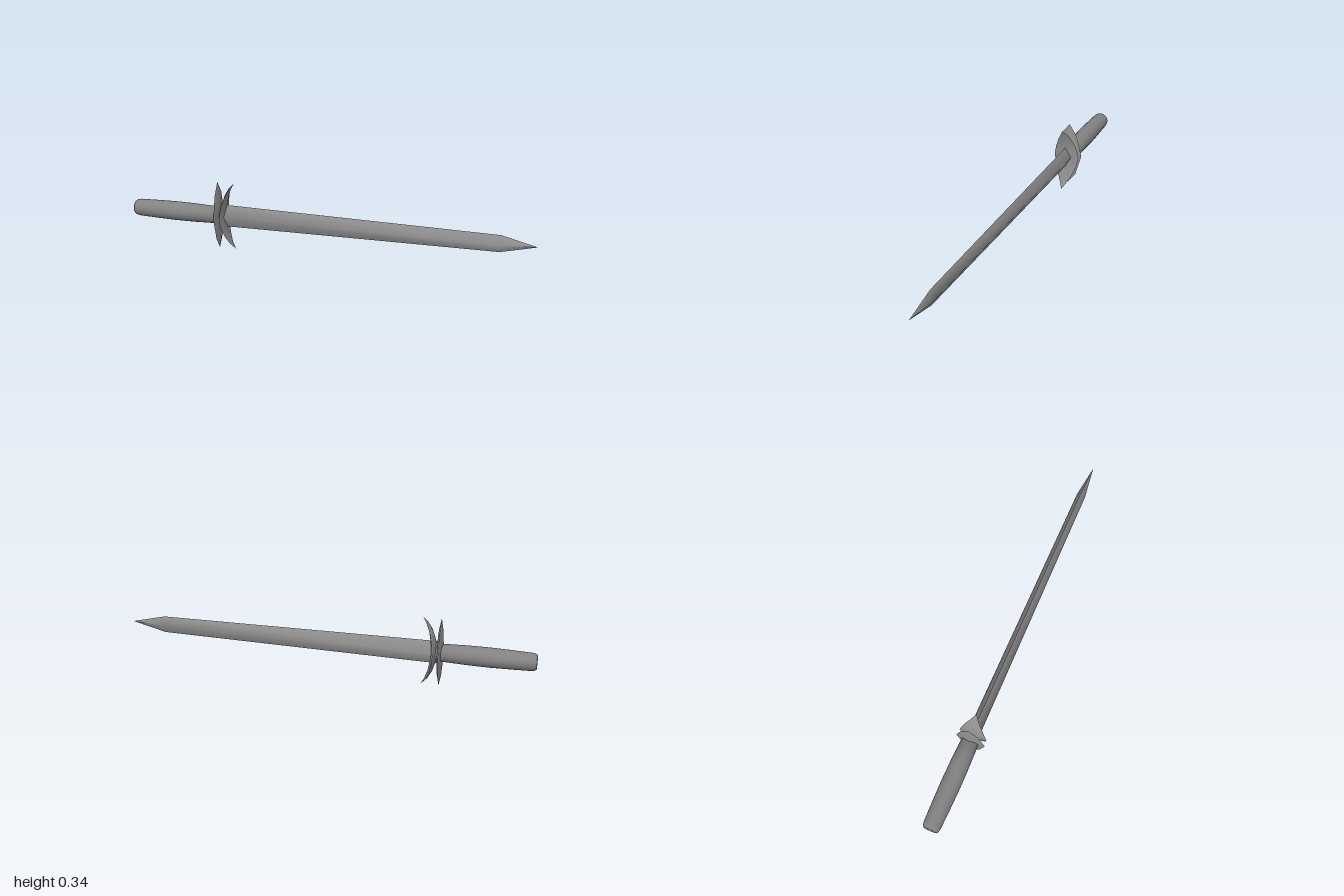
import * as THREE from 'three';

const CY = 0.172; // height of the sword's long axis
const steel = new THREE.MeshStandardMaterial({ color: 0x909090 });
const gripMat = new THREE.MeshStandardMaterial({ color: 0x828282 });

// Skin four-cornered rings (counter-clockwise about the loft direction).
// Each half has its own vertices: sharp at corners 0 and 2, smooth over 1 and 3.
function loft(rings) {
  const position = [], index = [];
  for (const corners of [[0, 1, 2], [2, 3, 0]]) {
    const start = position.length / 3;
    for (const ring of rings) for (const c of corners) position.push(...ring[c]);
    for (let i = 0; i < rings.length - 1; i++) {
      for (let k = 0; k < 2; k++) {
        const a = start + i * 3 + k;
        index.push(a, a + 1, a + 4, a, a + 4, a + 3);
      }
    }
  }
  const geo = new THREE.BufferGeometry();
  geo.setAttribute('position', new THREE.Float32BufferAttribute(position, 3));
  geo.setIndex(index);
  geo.computeVertexNormals();
  return geo;
}

// Guard plate: sections are [height from axis, half width, back x, rim x, front x]
function guardPlate(name, half) {
  const mirrored = half.slice(1).reverse().map(([y, ...rest]) => [-y, ...rest]);
  const rings = [...mirrored, ...half].map(([y, w, back, rim, front]) => [
    [rim, CY + y, w], [front, CY + y, 0], [rim, CY + y, -w], [back, CY + y, 0],
  ]);
  const mesh = new THREE.Mesh(loft(rings), steel);
  mesh.name = name;
  return mesh;
}

export function createModel() {
  const group = new THREE.Group();
  group.name = 'sword';

  // Blade with sharp edges and soft ridges: [x, half height, half thickness]
  const blade = new THREE.Mesh(loft([
    [-0.55, 0.057, 0.03], [-0.48, 0.056, 0.029], [0.83, 0.042, 0.022], [1, 0, 0],
  ].map(([x, h, t]) => [[x, CY + h, 0], [x, CY, t], [x, CY - h, 0], [x, CY, -t]])), steel);
  blade.name = 'blade';
  group.add(blade);

  // Straight rear plate and swept front plate
  group.add(guardPlate('rearGuard', [
    [0, 0.072, -0.572, -0.553, -0.535],
    [0.112, 0.042, -0.564, -0.553, -0.543],
    [0.172, 0, -0.554, -0.554, -0.554],
  ]));
  group.add(guardPlate('frontGuard', [
    [0, 0.068, -0.542, -0.526, -0.508],
    [0.05, 0.058, -0.535, -0.521, -0.507],
    [0.1, 0.04, -0.52, -0.508, -0.498],
    [0.14, 0.019, -0.498, -0.491, -0.484],
    [0.172, 0, -0.468, -0.468, -0.468],
  ]));

  // Round grip, slightly swollen in the middle, with a bevelled end
  const profile = [
    [0, -1], [0.032, -1], [0.039, -0.992], [0.042, -0.975], [0.045, -0.88],
    [0.047, -0.78], [0.046, -0.68], [0.042, -0.56], [0, -0.56],
  ].map(([r, x]) => new THREE.Vector2(r, x));
  const grip = new THREE.Mesh(new THREE.LatheGeometry(profile, 20), gripMat);
  grip.name = 'grip';
  grip.rotation.z = -Math.PI / 2;
  grip.position.y = CY;
  group.add(grip);

  return group;
}
